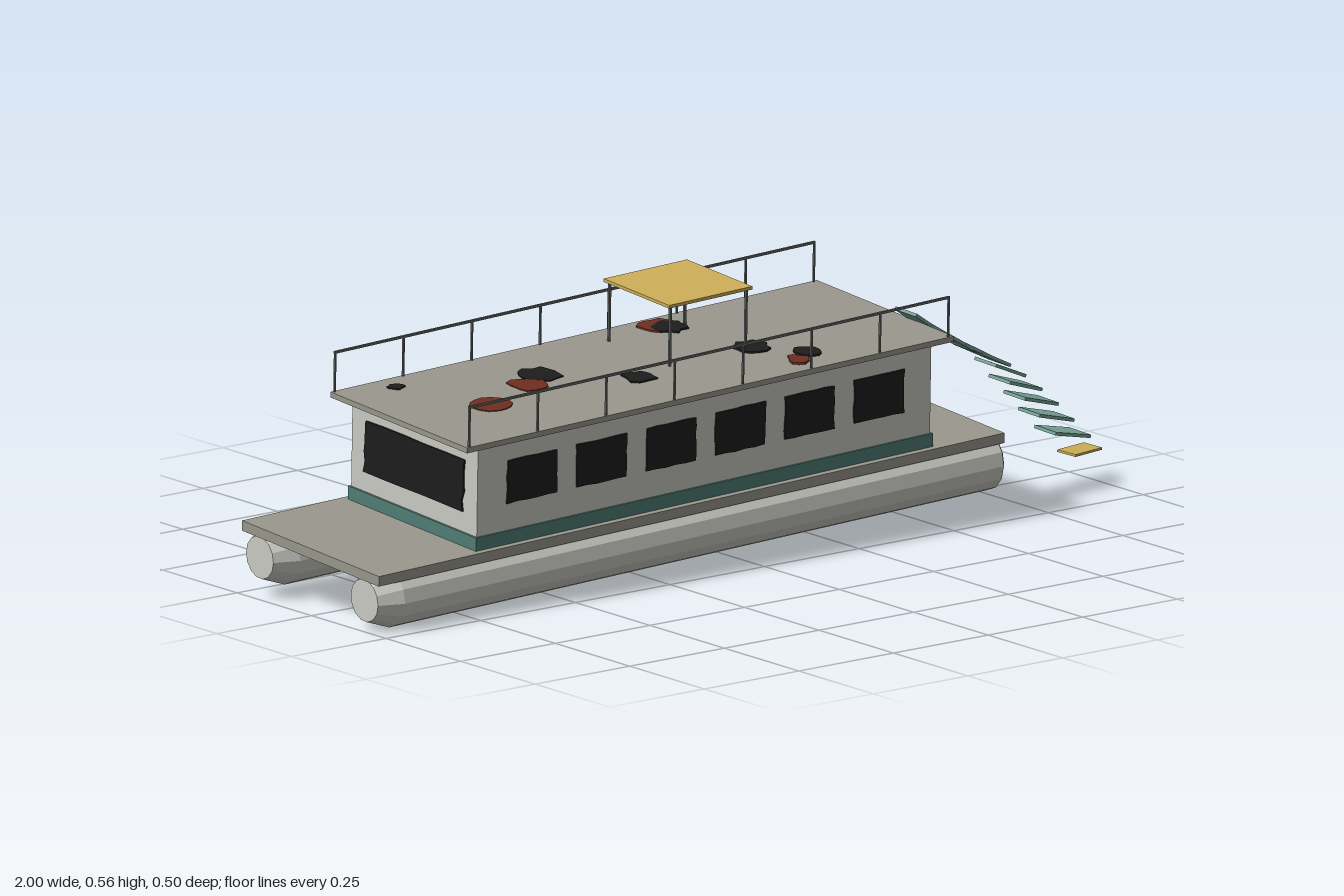
import * as THREE from 'three';

const mat = (name, color, extra = {}) => {
  const m = new THREE.MeshStandardMaterial({ color, ...extra });
  m.name = name;
  return m;
};

export function createModel() {
  const M = {
    hull: mat('pale grey paint', 0xcbccc4, { flatShading: true }),
    deck: mat('weathered grey', 0x9a988d),
    stripe: mat('dark teal', 0x4f7f77),
    slide: mat('faded teal', 0x7aa498),
    tan: mat('faded yellow', 0xcdae58),
    black: mat('charred black', 0x1d1d1d),
    rust: mat('rust', 0x6e2d20),
    rail: mat('rail grey', 0x666a6a),
  };
  const model = new THREE.Group();
  model.name = 'wreckedHouseboat';
  const boat = new THREE.Group();
  boat.name = 'boat';
  boat.rotation.set(0.066, 0, 0.033); // listing and pitched
  boat.position.y = 0.004;
  model.add(boat);

  let seed = 7;
  const rand = () => (seed = (seed * 16807) % 2147483647) / 2147483647;

  const add = (parent, name, geo, material, x, y, z) => {
    const mesh = new THREE.Mesh(geo, material);
    mesh.name = name;
    mesh.position.set(x, y, z);
    parent.add(mesh);
    return mesh;
  };
  const box = (parent, name, material, w, h, d, x, y, z) =>
    add(parent, name, new THREE.BoxGeometry(w, h, d), material, x, y, z);
  const plate = (points, depth) =>
    new THREE.ExtrudeGeometry(new THREE.Shape(points), { depth, bevelEnabled: false });

  const ZC = -0.012; // centre line of the boat

  // Pontoons: tapered bow at -x, small chamfer at the stern
  const profile = [[0, -0.99], [0.046, -0.99], [0.067, -0.935], [0.067, 0.645], [0.055, 0.655], [0, 0.655]]
    .map(([r, l]) => new THREE.Vector2(r, l));
  for (const side of [1, -1]) {
    const g = new THREE.LatheGeometry(profile, 14);
    g.rotateZ(-Math.PI / 2);
    add(boat, side > 0 ? 'leftPontoon' : 'rightPontoon', g, M.hull, 0, 0.103, ZC + side * 0.176);
  }

  // Deck, cabin and roof
  box(boat, 'deck', M.deck, 1.651, 0.022, 0.46, -0.17, 0.1595, ZC);
  box(boat, 'cabinStripe', M.stripe, 1.206, 0.029, 0.43, -0.125, 0.185, ZC);
  box(boat, 'cabin', M.hull, 1.196, 0.2, 0.422, -0.125, 0.2975, ZC);
  box(boat, 'roof', M.deck, 1.284, 0.012, 0.46, -0.125, 0.402, ZC);

  // Windows with slightly ragged edges
  const windowShape = (w, h) => {
    const pts = [];
    const n = 5;
    const corners = [[-1, -1], [1, -1], [1, 1], [-1, 1]];
    corners.forEach(([x, y], i) => {
      const [x2, y2] = corners[(i + 1) % 4];
      for (let k = 0; k < n; k++) {
        const t = k / n, j = 1 - rand() * 0.05;
        pts.push(new THREE.Vector2((x + (x2 - x) * t) * w / 2 * j, (y + (y2 - y) * t) * h / 2 * j));
      }
    });
    return plate(pts, 0.005);
  };
  for (let i = 0; i < 6; i++) {
    const x = -0.58 + i * 0.183;
    add(boat, 'leftWindow', windowShape(0.134, 0.096), M.black, x, 0.306, ZC + 0.21);
    add(boat, 'rightWindow', windowShape(0.134, 0.096), M.black, x, 0.306, ZC - 0.21).rotation.y = Math.PI;
  }
  add(boat, 'bowWindow', windowShape(0.34, 0.115), M.black, -0.722, 0.3, ZC).rotation.y = -Math.PI / 2;

  // Ladder rungs on the right wall
  for (let i = 0; i < 8; i++)
    box(boat, 'ladderRung', M.rail, 0.03, 0.004, 0.022, 0.445, 0.2 + i * 0.0252, ZC - 0.221);

  // Railings along both roof edges
  for (const side of [1, -1]) {
    const rail = new THREE.Group();
    rail.name = side > 0 ? 'leftRailing' : 'rightRailing';
    rail.position.set(-0.127, 0.408, ZC + side * 0.226);
    boat.add(rail);
    for (let i = 0; i < 8; i++)
      box(rail, 'railPost', M.rail, 0.004, 0.087, 0.004, -0.632 + i * 0.1806, 0.0435, 0);
    box(rail, 'topRail', M.rail, 1.268, 0.005, 0.005, 0, 0.086, 0);
  }

  // Sunshade on four posts
  box(boat, 'sunshade', M.tan, 0.22, 0.007, 0.22, 0.013, 0.541, -0.07);
  for (const sx of [1, -1]) for (const sz of [1, -1])
    box(boat, 'sunshadePost', M.rail, 0.005, 0.13, 0.005, 0.013 + sx * 0.1, 0.473, -0.07 + sz * 0.102);

  // Burn and rust patches on the roof: [x, z, radius, rusty]
  const patches = [
    [-0.565, 0.045, 0.05, 1], [-0.42, -0.012, 0.044, 1], [-0.355, -0.052, 0.05, 0],
    [-0.65, -0.16, 0.02, 0], [-0.197, 0.083, 0.042, 0], [0.045, -0.165, 0.046, 1],
    [0.06, -0.145, 0.044, 0], [0.115, 0.06, 0.042, 0], [0.142, 0.185, 0.03, 1], [0.186, 0.152, 0.036, 0],
  ];
  patches.forEach(([x, z, r, rusty], i) => {
    const pts = [];
    for (let k = 0; k < 14; k++) {
      const a = k / 14 * Math.PI * 2, q = r * (0.68 + 0.36 * rand());
      pts.push(new THREE.Vector2(Math.cos(a) * q, Math.sin(a) * q));
    }
    add(boat, rusty ? 'rustPatch' : 'burnPatch', plate(pts, 0.003 + i * 0.0003),
      rusty ? M.rust : M.black, x + 0.0135, 0.407, z - 0.027).rotation.x = -Math.PI / 2;
  });

  // Broken slide falling away from the roof: [x, y, length, tilt]
  const slide = new THREE.Group();
  slide.name = 'brokenSlide';
  model.add(slide);
  const pieces = [
    [0.503, 0.425, 0.085, -0.6], [0.548, 0.397, 0.09, -0.55], [0.6, 0.366, 0.09, -0.54],
    [0.645, 0.342, 0.09, -0.5], [0.69, 0.318, 0.09, -0.46], [0.73, 0.287, 0.092, -0.41],
    [0.772, 0.247, 0.095, -0.32], [0.815, 0.207, 0.098, -0.28], [0.857, 0.165, 0.1, -0.26], [0.902, 0.121, 0.1, -0.22],
  ];
  pieces.forEach(([x, y, len, tilt], i) => {
    box(slide, 'slideSegment', M.slide, len, 0.007, 0.068, x, y, 0.126 - i * 0.0024)
      .rotation.set(0.05, 0.05, tilt);
  });
  box(slide, 'slideTip', M.tan, 0.085, 0.005, 0.05, 0.952, 0.073, 0.098).rotation.set(0.06, 0.2, -0.02);

  return model;
}
